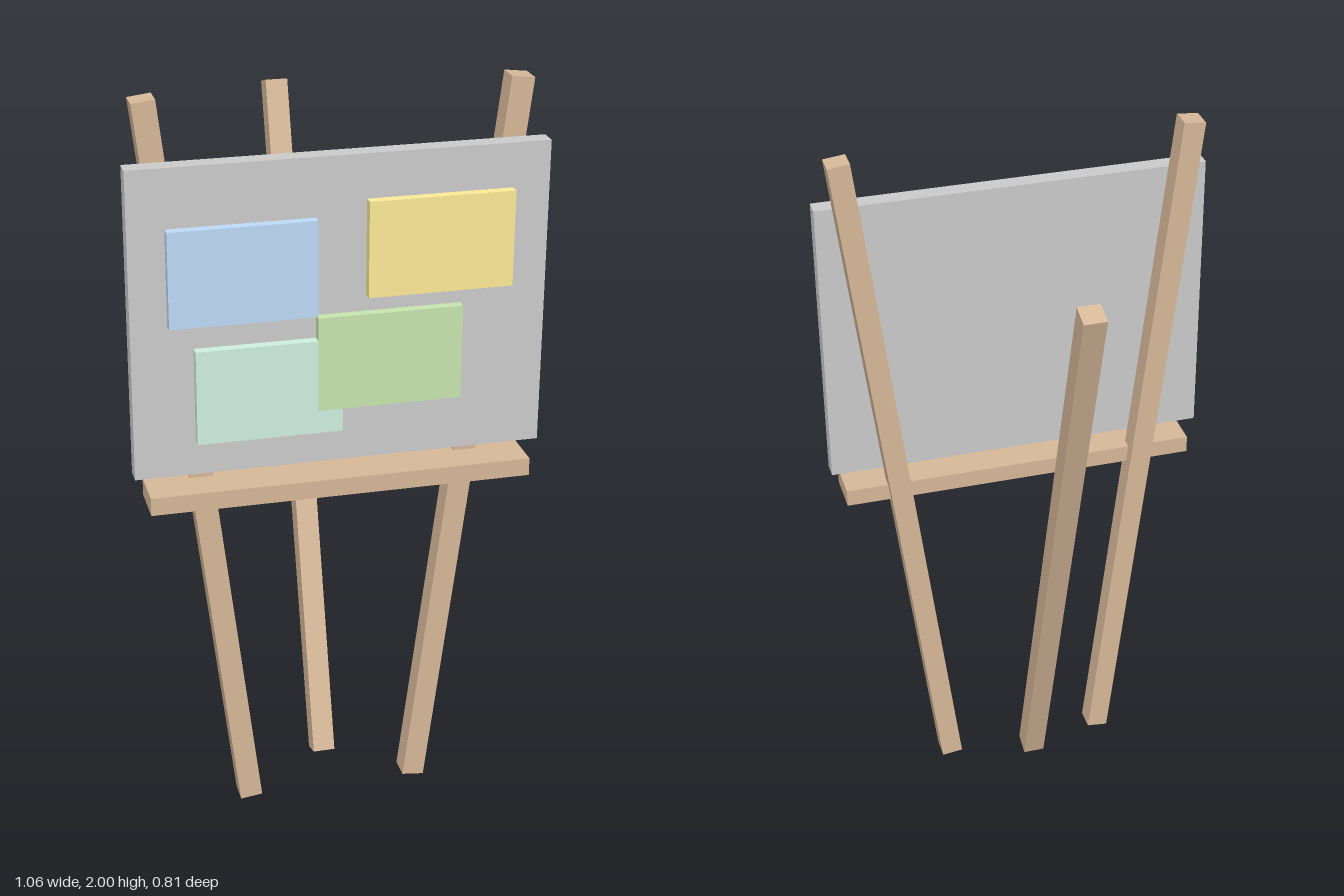
import * as THREE from 'three';

const material = (color) => new THREE.MeshStandardMaterial({ color });

export function createModel() {
  const group = new THREE.Group();
  group.name = 'easel';
  const wood = material(0xd7b999);

  function box(name, [w, h, d], [x, y, z], mat) {
    const mesh = new THREE.Mesh(new THREE.BoxGeometry(w, h, d), mat);
    mesh.name = name;
    mesh.position.set(x, y, z);
    group.add(mesh);
    return mesh;
  }

  // Splayed front legs, wider apart at the top
  for (const side of [-1, 1]) {
    const leg = box(side > 0 ? 'leftLeg' : 'rightLeg', [0.06, 2.007, 0.062], [side * 0.352, 1, 0.278], wood);
    leg.rotation.z = -side * 0.12;
  }

  // Rear leg, leaning backwards
  const rearLeg = box('rearLeg', [0.06, 1.878, 0.06], [0, 0.941, -0.098], wood);
  rearLeg.rotation.x = -0.3;

  // Ledge and the board above it
  box('ledge', [1, 0.048, 0.124], [0, 0.977, 0.341], wood);
  box('board', [1.064, 0.81, 0.048], [0, 1.443, 0.34], material(0xcccccc));

  // Pinned notes; the green one lies just over the mint one
  const notes = [
    ['blueNote', -0.252, 1.57, 0.377, 0xbedbf8],
    ['yellowNote', 0.25, 1.608, 0.377, 0xfdeb98],
    ['mintNote', -0.188, 1.255, 0.377, 0xcef0e1],
    ['greenNote', 0.122, 1.316, 0.378, 0xc7e6ae],
  ];
  for (const [name, x, y, z, color] of notes) {
    box(name, [0.374, 0.25, 0.026], [x, y, z], material(color));
  }

  return group;
}
